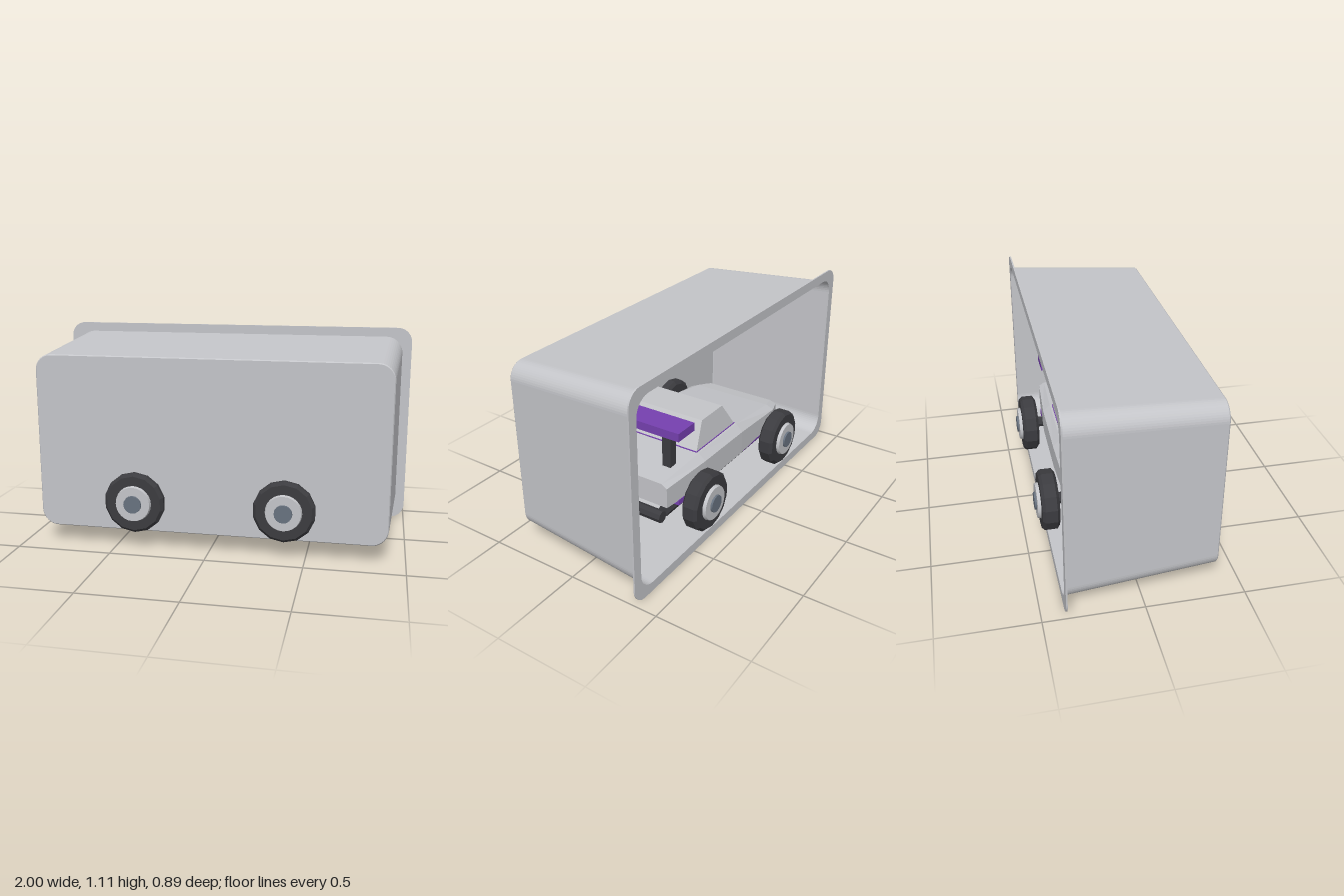
import * as THREE from 'three';

const mat = (name, color, opts = {}) => {
  const m = new THREE.MeshStandardMaterial({ color, ...opts });
  m.name = name;
  return m;
};

// Rounded rectangle outline, counter-clockwise
function roundedRect(x0, y0, x1, y1, r, Type = THREE.Shape) {
  const s = new Type();
  s.moveTo(x0 + r, y0);
  s.lineTo(x1 - r, y0);
  s.absarc(x1 - r, y0 + r, r, -Math.PI / 2, 0);
  s.lineTo(x1, y1 - r);
  s.absarc(x1 - r, y1 - r, r, 0, Math.PI / 2);
  s.lineTo(x0 + r, y1);
  s.absarc(x0 + r, y1 - r, r, Math.PI / 2, Math.PI);
  s.lineTo(x0, y0 + r);
  s.absarc(x0 + r, y0 + r, r, Math.PI, Math.PI * 1.5);
  return s;
}

// Skin between matching loops of points, with optional end caps
function loft(loops, capStart, capEnd) {
  const pos = [];
  const tri = (...pts) => pts.forEach((p) => pos.push(...p));
  const n = loops[0].length;
  for (let s = 0; s < loops.length - 1; s++) {
    for (let i = 0; i < n; i++) {
      const j = (i + 1) % n;
      const [a, b, c, d] = [loops[s][i], loops[s][j], loops[s + 1][j], loops[s + 1][i]];
      tri(a, b, c);
      tri(a, c, d);
    }
  }
  const first = loops[0], last = loops[loops.length - 1];
  for (let i = 1; i < n - 1; i++) {
    if (capStart) tri(first[0], first[i + 1], first[i]);
    if (capEnd) tri(last[0], last[i], last[i + 1]);
  }
  const g = new THREE.BufferGeometry();
  g.setAttribute('position', new THREE.Float32BufferAttribute(pos, 3));
  g.computeVertexNormals();
  return g;
}

export function createModel() {
  const model = new THREE.Group();
  model.name = 'carInOpenBox';

  const shell = mat('light grey', 0xc4c5c9, { side: THREE.DoubleSide });
  const dark = mat('dark rubber', 0x3c3c40, { flatShading: true });
  const purple = mat('purple', 0x7640b0);
  const steel = mat('blue grey', 0x68727f);

  const add = (parent, name, geo, material, x = 0, y = 0, z = 0) => {
    const m = new THREE.Mesh(geo, material);
    m.name = name;
    m.position.set(x, y, z);
    parent.add(m);
    return m;
  };

  // Tapered box, open at the back
  const box = new THREE.Group();
  box.name = 'openBox';
  model.add(box);
  const ring = (x, y0, y1, r, z) =>
    roundedRect(-x, y0, x, y1, r).getPoints(6).slice(0, -1).map((p) => [p.x, p.y, z]);
  add(box, 'boxWalls', loft([
    ring(0.95, 0.05, 1.055, 0.09, -0.38),
    ring(0.91, 0.093, 1.01, 0.085, 0.378),
    ring(0.905, 0.098, 1.005, 0.08, 0.384),
  ], false, true), shell);

  // Flange around the opening
  const flange = roundedRect(-1, 0, 1, 1.105, 0.08);
  flange.holes.push(roundedRect(-0.949, 0.051, 0.949, 1.054, 0.089, THREE.Path));
  add(box, 'boxRim', new THREE.ExtrudeGeometry(flange, { depth: 0.008, bevelEnabled: false, curveSegments: 6 }),
    shell, 0, 0, -0.384);

  // Car, nose towards -x
  const car = new THREE.Group();
  car.name = 'car';
  model.add(car);

  // Body sections: x, half width, bottom, shoulder, top, top half width
  const sections = [
    [0.59, 0.28, 0.275, 0.385, 0.405, 0.25],
    [0.27, 0.3, 0.255, 0.39, 0.425, 0.26],
    [-0.11, 0.3, 0.255, 0.385, 0.425, 0.26],
    [-0.5, 0.285, 0.26, 0.35, 0.37, 0.24],
    [-0.6, 0.25, 0.275, 0.335, 0.35, 0.21],
  ];
  add(car, 'carBody', loft(sections.map(([x, w, b, s, t, tw]) => [
    [x, b, -w], [x, b, w], [x, s, w], [x, t, tw], [x, t, -tw], [x, s, -w],
  ]), true, true), shell);

  // Cabin and its trim line
  const level = (x0, x1, z, y) => [[x0, y, z], [x1, y, z], [x1, y, -z], [x0, y, -z]];
  add(car, 'cabin', loft([level(-0.11, 0.27, 0.245, 0.425), level(-0.02, 0.18, 0.22, 0.565)], true, true), shell);
  add(car, 'cabinTrim', new THREE.BoxGeometry(0.386, 0.008, 0.496), purple, 0.08, 0.425, 0);

  // Underbody plate
  add(car, 'underbody', new THREE.BoxGeometry(1.0, 0.03, 0.58), purple, 0, 0.258, 0);

  // Spoiler on two posts
  add(car, 'spoiler', new THREE.BoxGeometry(0.14, 0.045, 0.58), purple, 0.43, 0.632, 0);
  for (const side of [-1, 1]) {
    add(car, 'spoilerPost', new THREE.BoxGeometry(0.05, 0.21, 0.05), dark, 0.43, 0.51, side * 0.185);
    // Side bars under the body
    add(car, 'sideBar', new THREE.CylinderGeometry(0.03, 0.03, 1.1, 8), dark, 0, 0.215, side * 0.23)
      .rotation.z = Math.PI / 2;
  }

  // Bumpers and axles run across the car
  const crossBar = (name, x, y, r, length) =>
    add(car, name, new THREE.CylinderGeometry(r, r, length, 8), dark, x, y, 0).rotation.x = Math.PI / 2;
  crossBar('frontBumper', -0.61, 0.22, 0.032, 0.52);
  crossBar('rearBumper', 0.6, 0.22, 0.032, 0.52);

  // Wheels, built along their axle and turned outwards
  const tyreProfile = [[0, 0.33], [0.14, 0.33], [0.16, 0.345], [0.16, 0.405], [0.145, 0.42], [0, 0.42]]
    .map(([r, h]) => new THREE.Vector2(r, h));
  const tyreGeo = new THREE.LatheGeometry(tyreProfile, 14);
  const discGeo = new THREE.CylinderGeometry(0.09, 0.096, 0.022, 24);
  const capGeo = new THREE.CylinderGeometry(0.046, 0.048, 0.022, 16);
  for (const x of [-0.39, 0.39]) {
    crossBar('axle', x, 0.25, 0.03, 0.7);
    for (const side of [-1, 1]) {
      const wheel = new THREE.Group();
      wheel.name = 'wheel';
      wheel.position.set(x, 0.25, 0);
      wheel.rotation.x = side * Math.PI / 2;
      car.add(wheel);
      add(wheel, 'tyre', tyreGeo, dark);
      add(wheel, 'wheelDisc', discGeo, shell, 0, 0.426, 0);
      add(wheel, 'hubCap', capGeo, steel, 0, 0.436, 0);
    }
  }
  return model;
}
